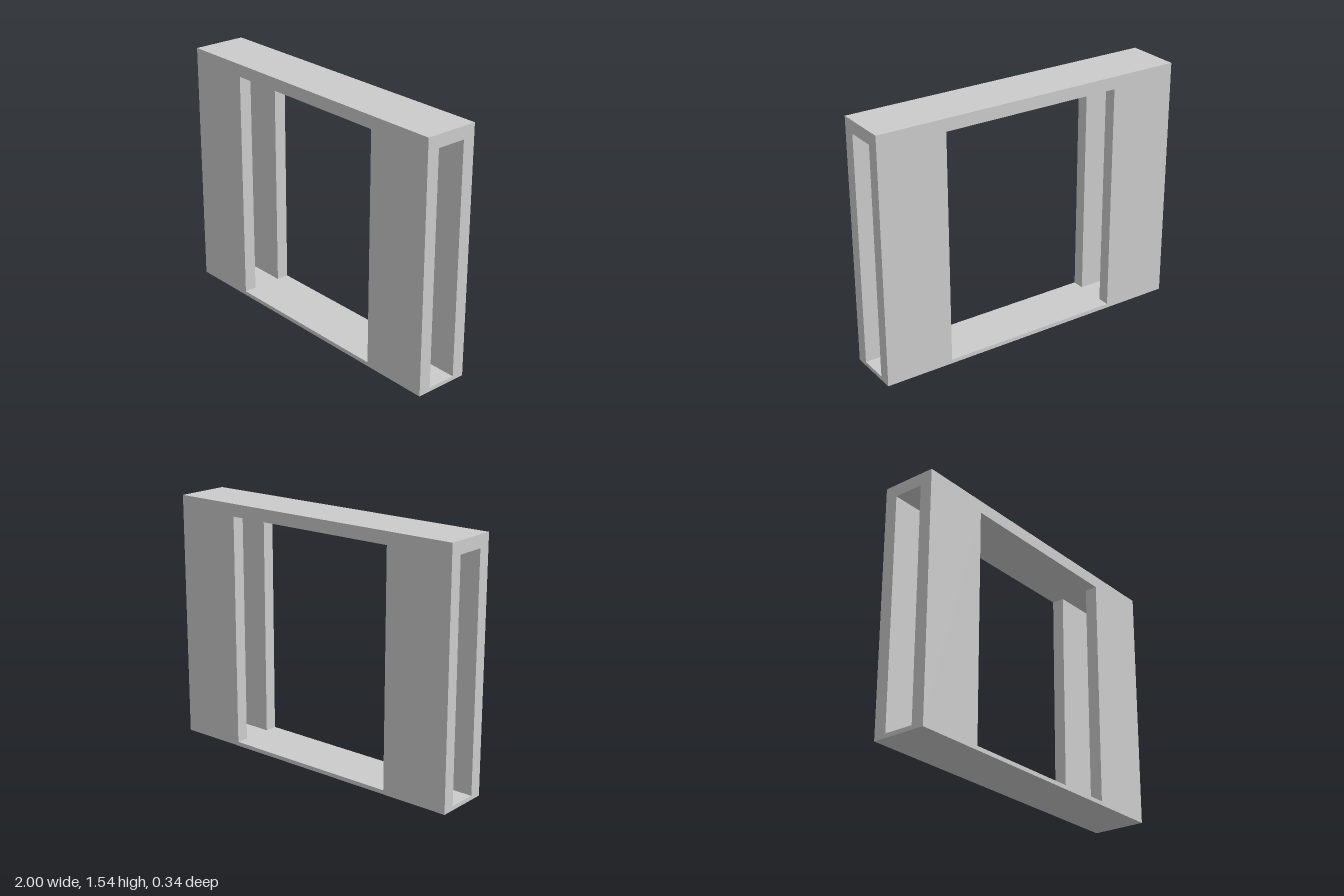
import * as THREE from 'three';

const WIDTH = 2, HEIGHT = 1.537, DEPTH = 0.34;
const FLOOR = 0.025, CEILING = 1.46; // bottom and top of the openings
const OPENING = 0.573;               // half width of the front opening
const SLOT = 0.092;                  // half depth of the slot between the walls

export function createModel() {
  const group = new THREE.Group();
  group.name = 'doorFrame';
  const material = new THREE.MeshStandardMaterial({ color: 0xcccccc, flatShading: true });

  // Box given by its lower and upper corner
  function addBox(name, [x0, y0, z0], [x1, y1, z1]) {
    const mesh = new THREE.Mesh(new THREE.BoxGeometry(x1 - x0, y1 - y0, z1 - z0), material);
    mesh.position.set((x0 + x1) / 2, (y0 + y1) / 2, (z0 + z1) / 2);
    mesh.name = name;
    group.add(mesh);
  }

  const w = WIDTH / 2, d = DEPTH / 2;

  // Threshold and lintel span the full width and depth
  addBox('threshold', [-w, 0, -d], [w, FLOOR, d]);
  addBox('lintel', [-w, CEILING, -d], [w, HEIGHT, d]);

  // Paired wall panels on each side, with an open pocket between them
  for (const [side, x0, x1] of [['left', OPENING, w], ['right', -w, -OPENING]]) {
    addBox(side + 'FrontPanel', [x0, FLOOR, SLOT], [x1, CEILING, d]);
    addBox(side + 'BackPanel', [x0, FLOOR, -d], [x1, CEILING, -SLOT]);
  }
  return group;
}
